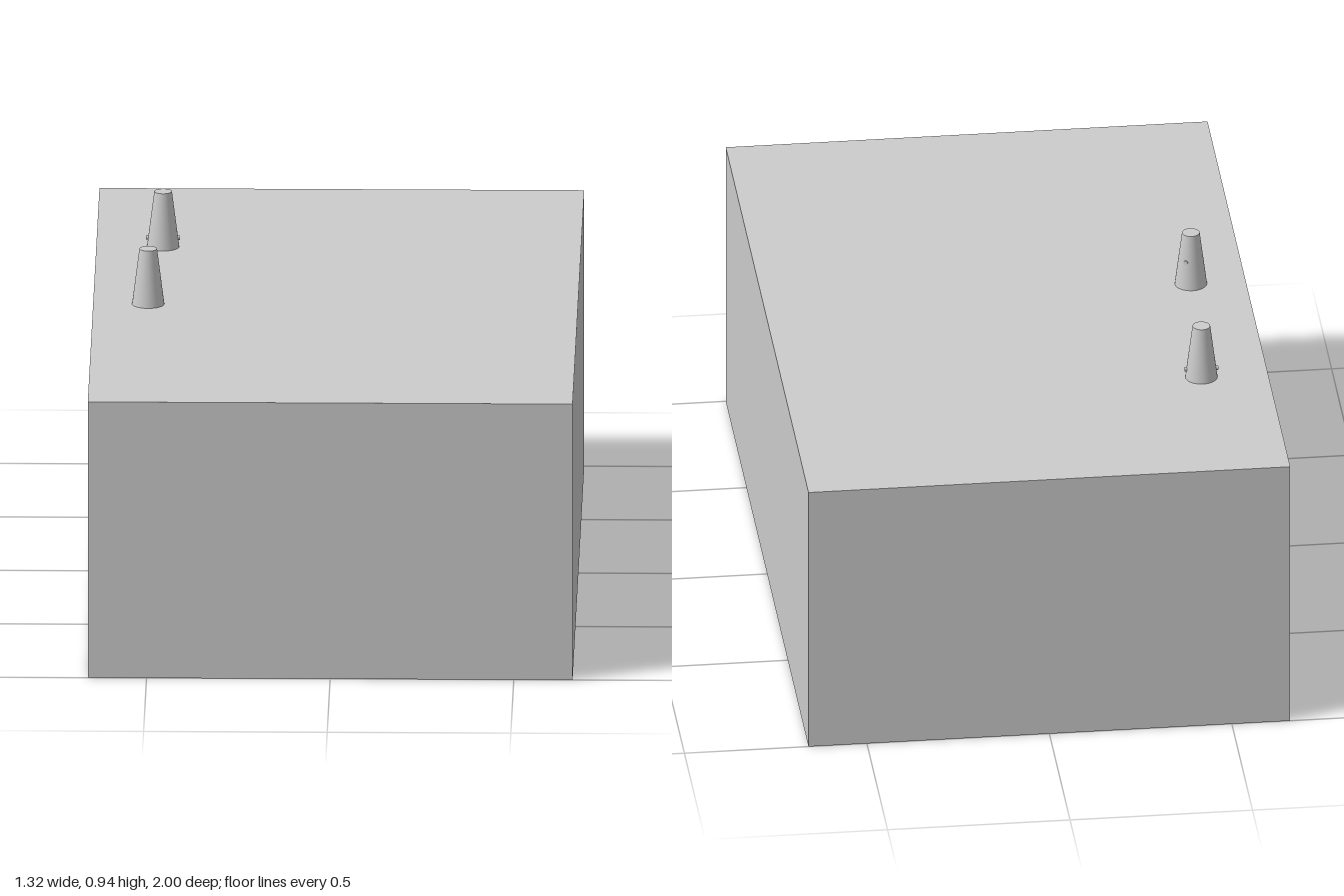
import * as THREE from 'three';

const TOP = 0.785, PEG_HEIGHT = 0.157;

export function createModel() {
  const model = new THREE.Group();
  const material = new THREE.MeshStandardMaterial({ color: 0xcccccc });

  function add(parent, name, geometry, x, y, z) {
    const mesh = new THREE.Mesh(geometry, material);
    mesh.name = name;
    mesh.position.set(x, y, z);
    parent.add(mesh);
    return mesh;
  }

  // Solid block
  add(model, 'block', new THREE.BoxGeometry(1.32, TOP, 2), 0, TOP / 2, 0);

  // Tapered peg with a thin pin set into its side
  function addPeg(name, x, z, pinHeight, pinLength, pinAngle, pinOffset) {
    const peg = new THREE.Group();
    peg.name = name;
    peg.position.set(x, TOP, z);
    add(peg, 'taperedPost', new THREE.CylinderGeometry(0.024, 0.044, PEG_HEIGHT, 32), 0, PEG_HEIGHT / 2, 0);
    const pinGeometry = new THREE.CylinderGeometry(0.006, 0.006, pinLength, 12);
    pinGeometry.rotateZ(Math.PI / 2).translate(pinOffset, 0, 0);
    add(peg, 'pin', pinGeometry, 0, pinHeight, 0).rotation.y = pinAngle;
    model.add(peg);
  }
  addPeg('frontPeg', -0.51, 0.08, 0.08, 0.03, Math.PI / 3, 0.021);
  addPeg('backPeg', -0.478, -0.457, 0.025, 0.092, 0, 0);

  return model;
}
